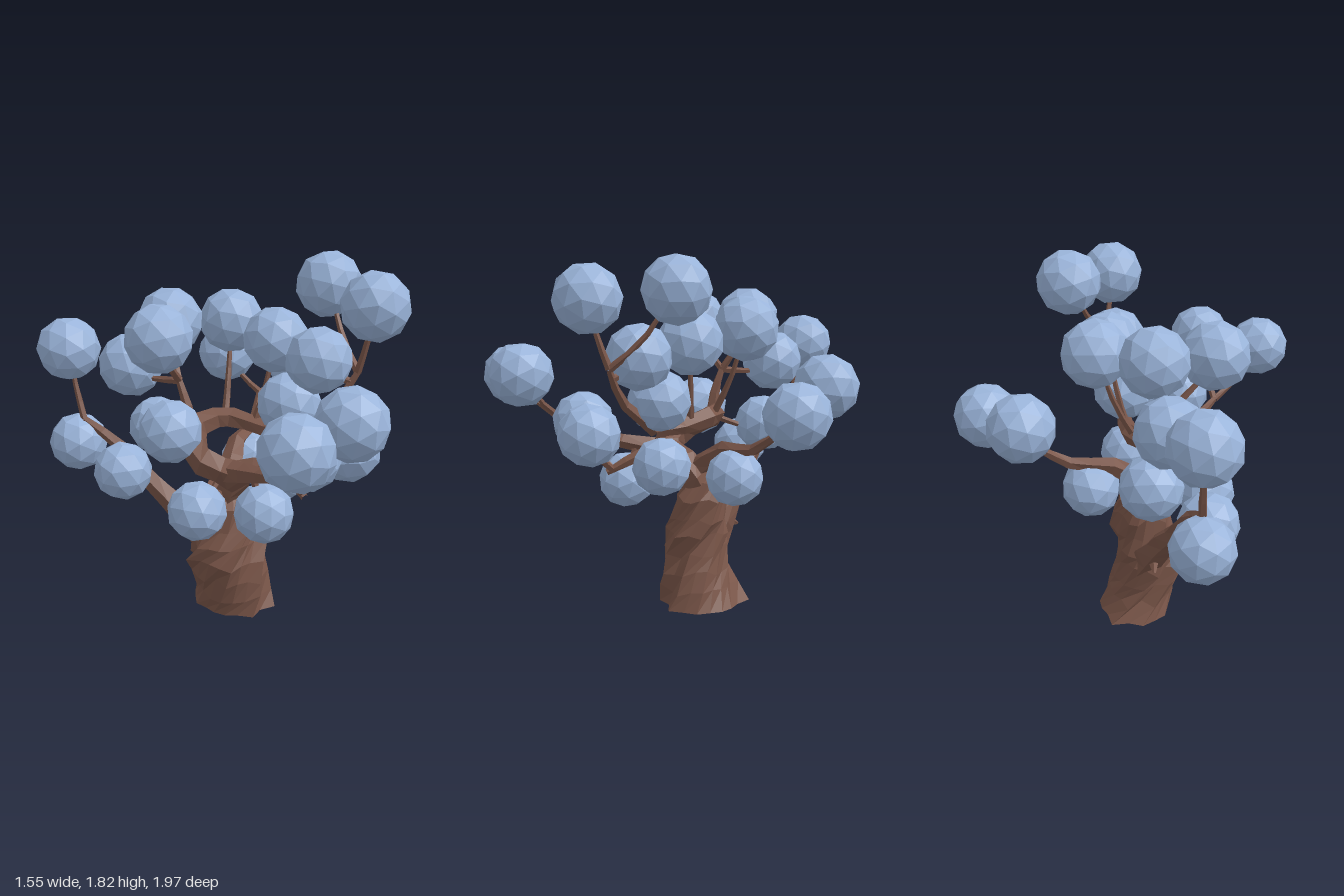
import * as THREE from 'three';

const bark = new THREE.MeshStandardMaterial({ color: 0x795548, flatShading: true });
bark.name = 'bark brown';
const leaf = new THREE.MeshStandardMaterial({ color: 0x9ab4da, flatShading: true });
leaf.name = 'foliage blue';

// Repeatable value from -1 to 1
const noise = (a, b) => {
  const s = Math.sin(a * 127.1 + b * 311.7) * 43758.5453;
  return (s - Math.floor(s)) * 2 - 1;
};

// Gnarled trunk: a cylinder twisted and ridged along a bent axis
function trunkGeometry() {
  const sides = 18, rows = 7, height = 0.66;
  // centre x, centre z and radius at even steps up the trunk
  const profile = [
    [-0.085, -0.065, 0.205], [-0.11, -0.05, 0.175], [-0.155, -0.045, 0.18],
    [-0.13, -0.045, 0.165], [-0.11, -0.06, 0.145], [-0.11, -0.09, 0.1],
  ].map(p => new THREE.Vector3(...p));
  const axis = new THREE.CatmullRomCurve3(profile);
  const geo = new THREE.CylinderGeometry(1, 1, height, sides, rows);
  const pos = geo.attributes.position;
  for (let i = 0; i < pos.count; i++) {
    const x = pos.getX(i), z = pos.getZ(i), y = pos.getY(i) + height / 2;
    const angle = Math.atan2(z, x);
    const k = (Math.round(angle / (Math.PI * 2) * sides) + sides) % sides;
    const row = Math.round(y / height * rows);
    const c = axis.getPoint(row / rows);
    const ridge = 1 + 0.12 * Math.cos(k * Math.PI * 2 / 3) + 0.09 * noise(k, row);
    const r = Math.hypot(x, z) * c.z * ridge;
    const a = angle - y * 2.6;
    const lift = row > 0 && row < rows ? 0.022 * noise(k + 9, row) : 0;
    pos.setXYZ(i, c.x + Math.cos(a) * r, y + lift, c.y + Math.sin(a) * r);
  }
  geo.computeVertexNormals();
  return geo;
}

// Tapered faceted tube along a curve, from radius r0 to r1
function limbGeometry(curve, r0, r1, sides = 5) {
  const seg = (curve.points.length - 1) * 2;
  const geo = new THREE.TubeGeometry(curve, seg, 1, sides);
  const pos = geo.attributes.position, v = new THREE.Vector3();
  for (let i = 0; i < pos.count; i++) {
    const ring = Math.floor(i / (sides + 1)), t = ring / seg;
    const c = curve.getPointAt(t);
    const r = (r0 + (r1 - r0) * t) * (1 + 0.15 * noise(i % (sides + 1) % sides, ring));
    v.fromBufferAttribute(pos, i).sub(c).multiplyScalar(r).add(c);
    pos.setXYZ(i, v.x, v.y, v.z);
  }
  geo.computeVertexNormals();
  return geo;
}

const curveThrough = points => new THREE.CatmullRomCurve3(points, false, 'catmullrom', 0.25);
const vectors = rows => rows.map(p => new THREE.Vector3(...p));

export function createModel() {
  const model = new THREE.Group();
  let ballCount = 0;
  const add = (parent, name, geo, mat) => {
    const mesh = new THREE.Mesh(geo, mat);
    mesh.name = name;
    parent.add(mesh);
    return mesh;
  };

  // A limb with its foliage balls, each on a twig from the nearest point of the limb
  function branch(name, r0, r1, points, centres) {
    const group = new THREE.Group();
    group.name = name;
    model.add(group);
    const curve = curveThrough(vectors(points));
    add(group, 'limb', limbGeometry(curve, r0, r1), bark);
    const stations = curve.getSpacedPoints(16);
    for (const centre of vectors(centres)) {
      const n = ++ballCount;
      // Higher balls are slightly larger
      const radius = 0.126 + 0.03 * Math.min(centre.y, 1.25);
      const ball = add(group, 'foliageBall', new THREE.IcosahedronGeometry(radius, 1), leaf);
      ball.position.copy(centre);
      ball.rotation.set(noise(n, 1) * 3, noise(n, 2) * 3, noise(n, 3) * 3);
      const start = stations.reduce((a, b) => (b.distanceTo(centre) < a.distanceTo(centre) ? b : a));
      const bend = start.clone().lerp(centre, 0.5);
      bend.y -= 0.1 * start.distanceTo(centre);
      add(group, 'twig', limbGeometry(curveThrough([start, bend, centre]), 0.019, 0.009), bark);
    }
  }

  add(model, 'trunk', trunkGeometry(), bark);

  // Thick limb spiralling out of the trunk top
  branch('crownBranch', 0.09, 0.035,
    [[-0.11, 0.6, -0.06], [-0.14, 0.74, 0.02], [-0.28, 0.82, 0.07], [-0.35, 0.88, -0.04],
      [-0.25, 0.97, -0.17], [-0.08, 1.01, -0.12], [0, 0.97, 0.1], [0.05, 0.97, 0.25]],
    [[0.03, 1.115, 0.21], [0.09, 1.4, 0.07], [0.085, 1.455, -0.225],
      [-0.41, 1, -0.16], [-0.22, 0.915, -0.465]]);

  branch('topBranch', 0.036, 0.016,
    [[0.05, 0.97, 0.24], [0.11, 1.13, 0.42], [0.18, 1.3, 0.5]],
    [[0.31, 1.66, 0.215], [0.17, 1.62, 0.59], [0.1, 1.34, 0.33]]);

  branch('upperBranch', 0.035, 0.018,
    [[-0.25, 0.96, -0.17], [-0.26, 1.1, -0.2], [-0.27, 1.21, -0.24]],
    [[-0.46, 1.46, -0.165], [-0.21, 1.48, -0.36], [-0.31, 1.24, -0.555]]);

  branch('backBranch', 0.085, 0.018,
    [[-0.14, 0.3, -0.13], [-0.24, 0.5, -0.28], [-0.33, 0.66, -0.42],
      [-0.41, 0.84, -0.57], [-0.48, 0.95, -0.74]],
    [[-0.485, 1.31, -0.83], [-0.49, 0.82, -0.79], [-0.485, 0.745, -0.44]]);

  branch('leftBranch', 0.06, 0.016,
    [[-0.13, 0.72, -0.04], [0.02, 0.84, -0.13], [0.22, 0.87, -0.2], [0.38, 1, -0.3]],
    [[0.36, 1.19, -0.525], [0.62, 1.11, -0.24], [0.13, 0.72, -0.15]]);

  branch('frontBranch', 0.06, 0.018,
    [[-0.25, 0.8, 0.03], [-0.27, 0.85, 0.28], [-0.41, 0.95, 0.56]],
    [[-0.62, 1.19, 0.8], [-0.29, 1.23, 0.82], [-0.25, 0.66, 0.3], [-0.43, 0.65, 0.035]]);

  branch('middleBranch', 0.05, 0.018,
    [[-0.2, 0.8, 0.05], [-0.09, 0.84, 0.24], [-0.12, 0.74, 0.44]],
    [[0.04, 0.97, 0.565], [-0.22, 0.99, 0.53], [0, 0.775, 0.19]]);

  // Short bare snag under the back limb
  branch('brokenStub', 0.05, 0.008, [[-0.19, 0.42, -0.2], [-0.22, 0.36, -0.32]], []);
  return model;
}
